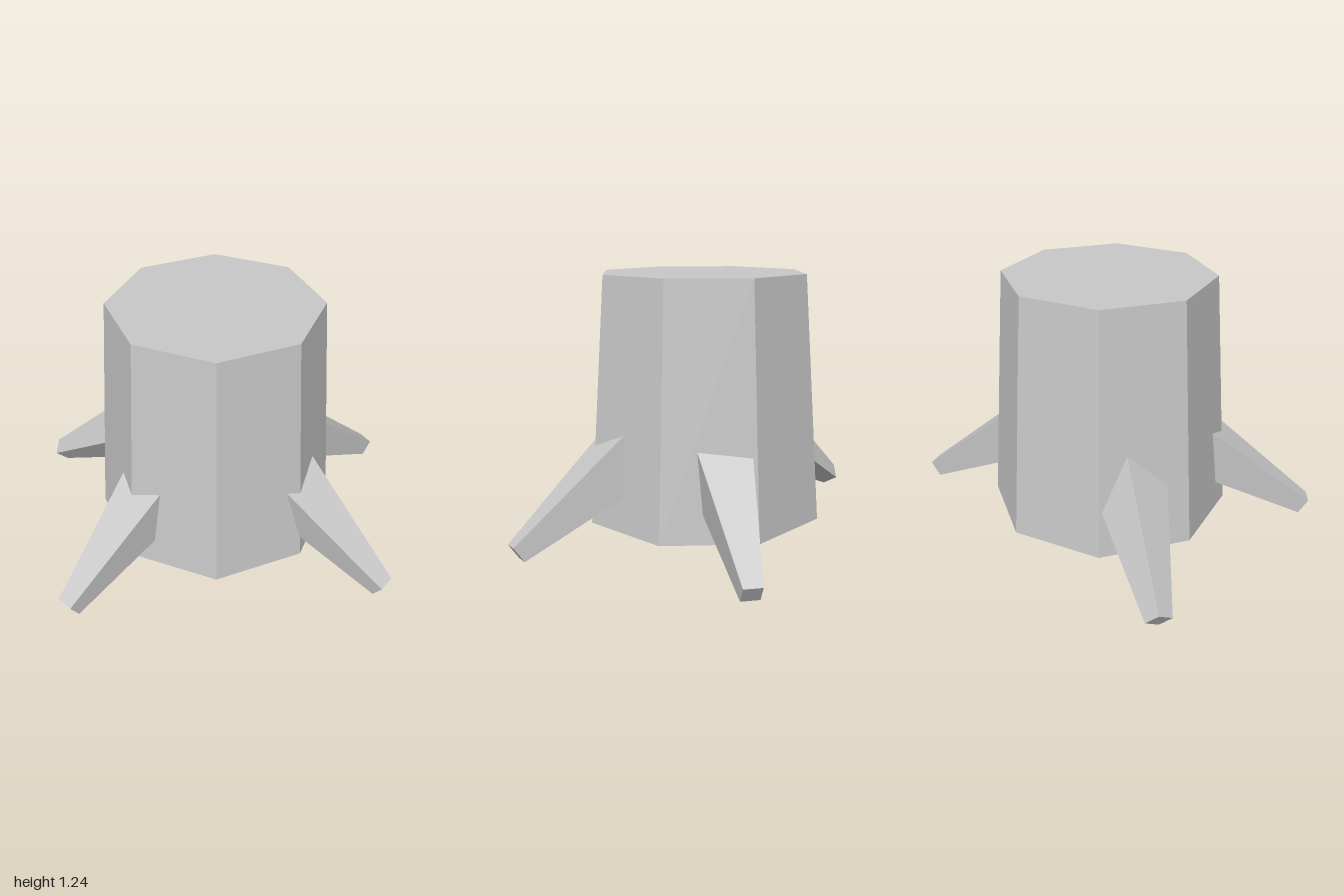
import * as THREE from 'three';

export function createModel() {
  const model = new THREE.Group();
  model.name = 'treeStump';
  const grey = new THREE.MeshStandardMaterial({ color: 0xc8c8c8, flatShading: true, side: THREE.DoubleSide });
  grey.name = 'stump grey';

  const add = (name, geometry) => {
    const mesh = new THREE.Mesh(geometry, grey);
    mesh.name = name;
    mesh.position.set(0.01, 0, -0.01);
    model.add(mesh);
  };
  const rad = THREE.MathUtils.degToRad;

  // Eight-sided hollow trunk, open underneath
  add('trunk', new THREE.CylinderGeometry(0.5, 0.58, 1.16, 8, 1, true).translate(0, 0.67, 0));
  add('cutTop', new THREE.CircleGeometry(0.5, 8).rotateX(-Math.PI / 2).translate(0, 1.25, 0));

  // Square tapered roots, reaching through the trunk wall: heading, slope and roll in degrees
  const length = 0.78;
  const roots = [
    ['frontRoot', 7.9, 33, 8],
    ['leftRoot', 75.6, 32, 0],
    ['backRoot', 196.7, 33, -36],
    ['rightRoot', -88.8, 32, 0],
  ];
  for (const [name, heading, slope, roll] of roots) {
    const root = new THREE.CylinderGeometry(0.059, 0.197, length, 4)
      .translate(0, -length / 2, 0)
      .rotateY(rad(45 + roll))
      .rotateX(rad(90 + slope))
      .translate(0, 0.055, 0.985)
      .rotateY(rad(heading));
    add(name, root);
  }
  return model;
}
